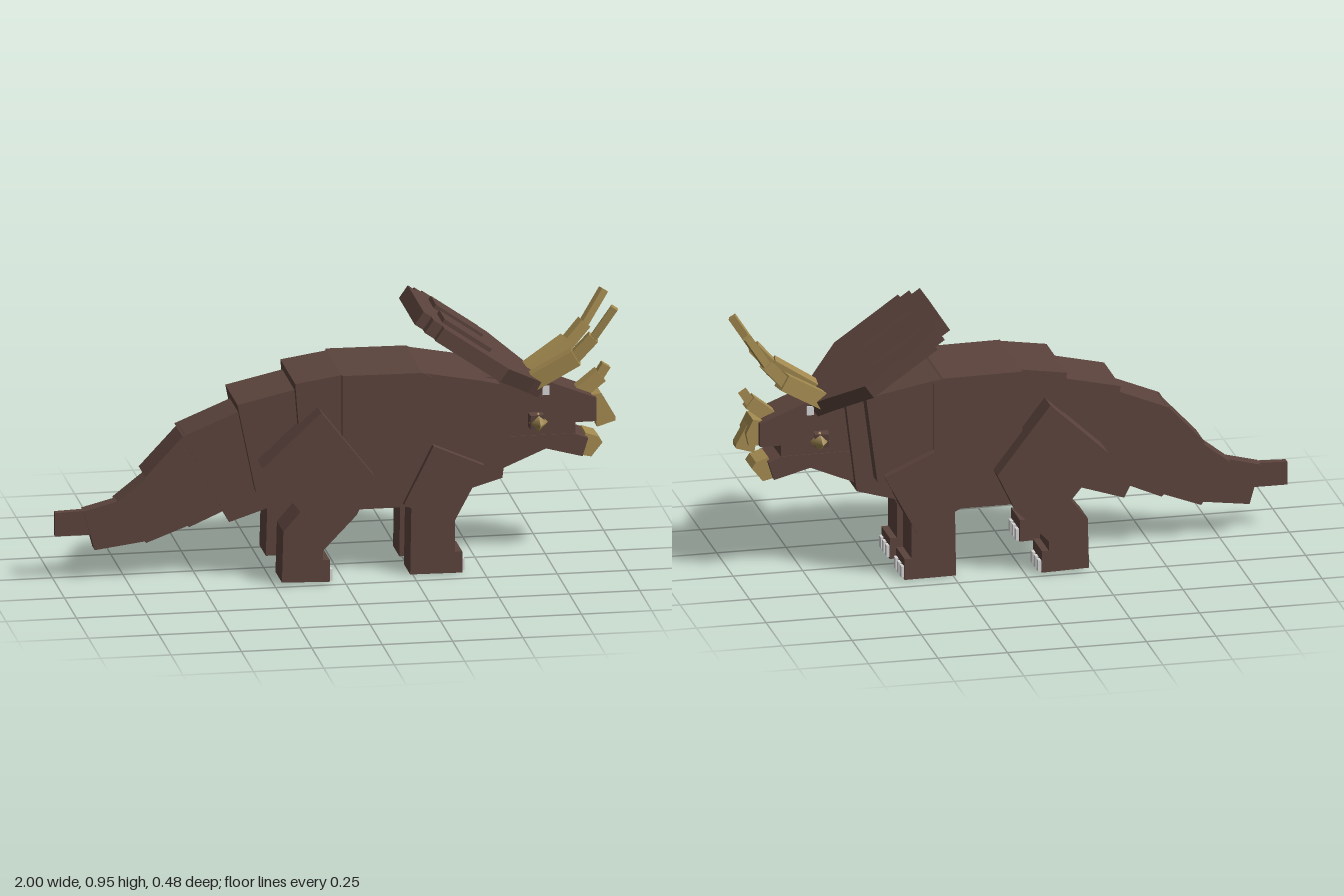
import * as THREE from 'three';

const mat = (name, color) => Object.assign(new THREE.MeshStandardMaterial({ color }), { name });

export function createModel() {
  const hide = mat('brown hide', 0x5b433c);
  const horn = mat('tan horn', 0xa38a50);
  const nail = mat('pale nail', 0xd6d6d6);
  const group = new THREE.Group();
  group.name = 'hornedDinosaur';

  const add = (name, geo, m) => {
    const mesh = new THREE.Mesh(geo, m);
    mesh.name = name;
    group.add(mesh);
    return mesh;
  };
  const outline = pts => new THREE.Shape(pts.map(p => new THREE.Vector2(...p)));

  // Side profile extruded between two z values
  const slab = (name, pts, z0, z1, m = hide) => {
    const geo = new THREE.ExtrudeGeometry(outline(pts), { depth: z1 - z0, bevelEnabled: false });
    return add(name, geo.translate(0, 0, z0), m);
  };
  // The same slab on both flanks
  const pair = (name, pts, z0, z1, m = hide) => {
    slab(name + 'Left', pts, -z1, -z0, m);
    slab(name + 'Right', pts, z0, z1, m);
  };
  const box = (name, x, y, z, w, h, d, m) =>
    add(name, new THREE.BoxGeometry(w, h, d).translate(x, y, z), m);
  // Square bar from a to b
  const bar = (name, a, b, w, m) => {
    const p = new THREE.Vector3(...a), q = new THREE.Vector3(...b);
    const mesh = add(name, new THREE.BoxGeometry(w, w, p.distanceTo(q)), m);
    mesh.position.copy(p).add(q).multiplyScalar(0.5);
    mesh.lookAt(q);
  };

  // Tail, swinging slightly to one side
  slab('tailTip', [[-1, 0.17], [-0.86, 0.17], [-0.86, 0.26], [-1, 0.255]], 0.028, 0.055);
  slab('tailEnd', [[-0.9, 0.258], [-0.86, 0.115], [-0.67, 0.14], [-0.775, 0.29]], 0.01, 0.062);
  slab('tailLower', [[-0.785, 0.285], [-0.68, 0.135], [-0.52, 0.195], [-0.67, 0.375]], -0.015, 0.072);
  slab('tailMiddle', [[-0.685, 0.38], [-0.53, 0.19], [-0.37, 0.26], [-0.545, 0.53]], -0.05, 0.088);
  slab('tailUpper', [[-0.555, 0.525], [-0.39, 0.205], [-0.16, 0.28], [-0.2, 0.6], [-0.36, 0.605]], -0.07, 0.1);
  slab('tailBase', [[-0.365, 0.64], [-0.3, 0.32], [-0.1, 0.28], [-0.1, 0.69], [-0.165, 0.685]], -0.125, 0.13);

  // Body
  slab('hips', [[-0.165, 0.715], [-0.13, 0.275], [0.05, 0.255], [0.05, 0.73], [0, 0.74]], -0.15, 0.16);
  slab('ribcage', [[0, 0.74], [0, 0.25], [0.32, 0.25], [0.32, 0.72], [0.285, 0.737]], -0.172, 0.172);
  slab('shoulders', [[0.285, 0.735], [0.27, 0.28], [0.4, 0.28], [0.52, 0.37], [0.56, 0.68], [0.5, 0.695]], -0.165, 0.165);
  slab('neck', [[0.35, 0.7], [0.35, 0.26], [0.41, 0.27], [0.58, 0.32], [0.62, 0.65], [0.54, 0.69]], -0.105, 0.105);
  slab('chest', [[0.18, 0.25], [0.42, 0.255], [0.42, 0.4], [0.18, 0.4]], -0.1, 0.1);

  // Legs
  pair('hindThigh', [[-0.295, 0.435], [-0.15, 0.26], [-0.08, 0.125], [0.04, 0.25], [0.105, 0.385], [-0.085, 0.63]], 0.1, 0.238);
  pair('hindFoot', [[-0.15, 0.28], [-0.22, 0.2], [-0.225, 0.015], [-0.055, 0.01], [-0.055, 0.09], [-0.08, 0.09], [-0.08, 0.2]], 0.1, 0.234);
  pair('frontUpperLeg', [[0.32, 0.475], [0.215, 0.265], [0.385, 0.18], [0.5, 0.395]], 0.048, 0.196);
  pair('frontFoot', [[0.245, 0.3], [0.24, 0.005], [0.425, 0.003], [0.425, 0.08], [0.4, 0.08], [0.4, 0.3]], 0.048, 0.178);
  for (const s of [-1, 1]) {
    for (const z of [0.068, 0.113, 0.157]) box('frontNail', 0.427, 0.03, s * z, 0.016, 0.042, 0.027, nail);
    for (const z of [0.124, 0.168, 0.212]) box('hindNail', -0.052, 0.032, s * z, 0.016, 0.042, 0.027, nail);
  }

  // Head and open beak
  slab('skull', [[0.56, 0.66], [0.56, 0.45], [0.845, 0.44], [0.845, 0.5], [0.92, 0.5], [0.92, 0.585], [0.72, 0.665]], -0.072, 0.072);
  slab('jaw', [[0.55, 0.46], [0.55, 0.33], [0.74, 0.41], [0.87, 0.375], [0.89, 0.44], [0.84, 0.46]], -0.075, 0.075);
  slab('upperBeak', [[0.905, 0.59], [0.905, 0.5], [0.955, 0.5], [0.965, 0.545], [0.94, 0.595]], -0.05, 0.05, horn);
  slab('beakTip', [[0.92, 0.52], [0.93, 0.465], [0.995, 0.485], [0.995, 0.5], [0.955, 0.57]], -0.025, 0.025, horn);
  slab('lowerBeak', [[0.86, 0.375], [0.905, 0.365], [0.945, 0.415], [0.93, 0.437], [0.885, 0.452]], -0.05, 0.05, horn);
  bar('noseHornBase', [0.87, 0.59, 0], [0.945, 0.65, 0], 0.05, horn);
  bar('noseHornTip', [0.93, 0.63, 0], [0.965, 0.685, 0], 0.033, horn);

  // Brow horns, eyes and cheek spikes
  for (const s of [-1, 1]) {
    bar('browHornBase', [0.69, 0.65, s * 0.055], [0.845, 0.745, s * 0.085], 0.06, horn);
    bar('browHornMiddle', [0.82, 0.72, s * 0.08], [0.905, 0.815, s * 0.094], 0.042, horn);
    bar('browHornTip', [0.89, 0.79, s * 0.092], [0.977, 0.925, s * 0.115], 0.027, horn);
    box('eye', 0.74, 0.622, s * 0.073, 0.025, 0.033, 0.008, nail);
    bar('cheek', [0.7, 0.52, s * 0.06], [0.705, 0.515, s * 0.1], 0.05, hide);
    const spike = new THREE.ConeGeometry(0.035, 0.05, 4).rotateX(s * Math.PI / 2);
    add('cheekSpike', spike.translate(0.71, 0.512, s * 0.115), horn);
  }

  // Frill: stepped shield leaning back over the neck
  const up = new THREE.Vector3(-0.82, 0.572, 0).normalize();
  const side = new THREE.Vector3(0, 0, 1);
  const back = new THREE.Vector3().crossVectors(side, up);
  const frame = new THREE.Matrix4().makeBasis(side, up, back).setPosition(0.29, 0.958, 0);
  const plate = (name, pts, front, depth) => {
    const geo = new THREE.ExtrudeGeometry(outline(pts), { depth, bevelEnabled: false });
    add(name, geo.translate(0, 0, front).applyMatrix4(frame), hide);
  };
  const half = [[0.165, 0], [0.165, -0.035], [0.205, -0.035], [0.205, -0.075], [0.235, -0.075],
    [0.235, -0.355], [0.11, -0.5], [0.07, -0.555]];
  plate('frill', [...half, ...half.map(([x, y]) => [-x, y]).reverse()], 0, 0.055);
  for (const s of [-1, 1]) {
    plate('frillPanel', [[s * 0.035, -0.085], [s * 0.145, -0.085], [s * 0.145, -0.29], [s * 0.035, -0.29]], -0.015, 0.02);
  }

  return group;
}
